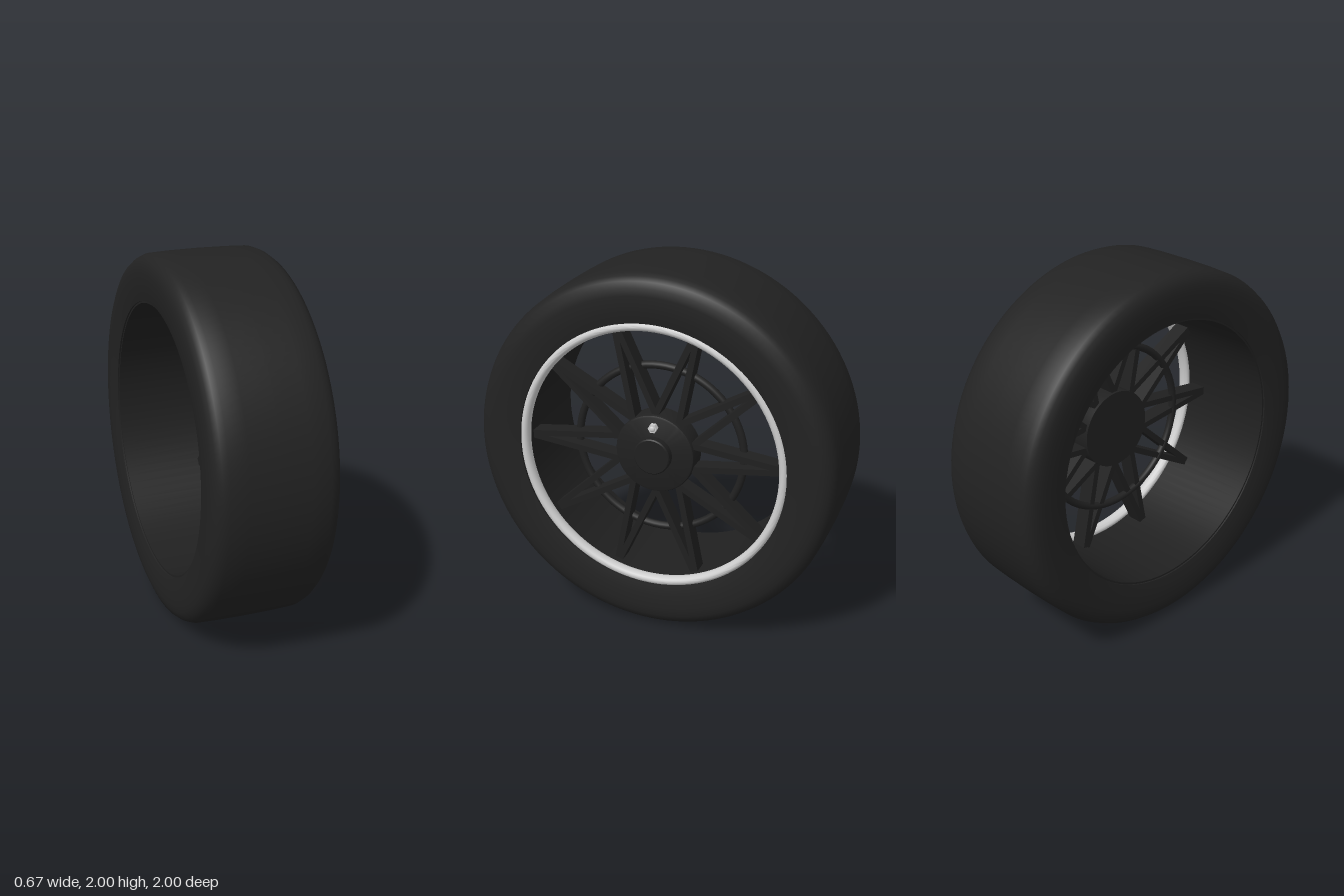
import * as THREE from 'three';
import { toCreasedNormals } from 'three/addons/utils/BufferGeometryUtils.js';

const material = (name, color) => {
  const m = new THREE.MeshStandardMaterial({ color });
  m.name = name;
  return m;
};

// Spin a closed [radius, axial] profile round the axle, keeping sharp edges
function lathe(points, segments = 96, crease = 0.6) {
  const profile = points.map(([r, a]) => new THREE.Vector2(r, a));
  return toCreasedNormals(new THREE.LatheGeometry(profile, segments), crease);
}

export function createModel() {
  const rubber = material('tyre black', 0x222222);
  const satin = material('rim black', 0x202020);
  const chrome = material('polished silver', 0xcccccc);

  const model = new THREE.Group();
  model.name = 'wheel';

  // Axle is built along local y, then laid over to point along +x
  const wheel = new THREE.Group();
  wheel.name = 'wheelAssembly';
  wheel.rotation.z = -Math.PI / 2;
  wheel.position.y = 1;
  model.add(wheel);

  const add = (name, geometry, mat, parent = wheel) => {
    const mesh = new THREE.Mesh(geometry, mat);
    mesh.name = name;
    parent.add(mesh);
    return mesh;
  };

  // Tyre: mirrored half profile, closed through the bore
  const half = [[0.745, 0.318], [0.80, 0.33], [0.89, 0.334], [0.93, 0.329],
    [0.962, 0.315], [0.982, 0.29], [0.994, 0.26], [0.998, 0.16]];
  const tyre = [
    ...half.map(([r, a]) => [r, -a]), [1, 0],
    ...[...half].reverse(), [0.745, -0.318],
  ];
  add('tyre', lathe(tyre, 128), rubber);

  // Barrel lining the bore
  add('rimBarrel', lathe([[0.748, -0.31], [0.748, 0.28], [0.735, 0.28], [0.735, -0.31], [0.748, -0.31]]), satin);

  // Rounded bright lip on the outer face
  const lip = [];
  for (let i = 0; i <= 20; i++) {
    const t = (i / 20) * Math.PI * 2;
    lip.push([0.724 + 0.025 * Math.cos(t), 0.288 + 0.034 * Math.sin(t)]);
  }
  add('rimLip', lathe(lip, 128), chrome);

  // Hub with rounded front edge and centre cap
  add('hub', lathe([[0, 0.11], [0.22, 0.11], [0.22, 0.222], [0.216, 0.231], [0.207, 0.235], [0, 0.235]], 64), satin);
  add('centreCap', lathe([[0, 0.2], [0.1, 0.2], [0.1, 0.274], [0.094, 0.28], [0, 0.28]], 48), satin);

  // Single hexagonal nut
  const nut = new THREE.Group();
  nut.name = 'lugNut';
  nut.position.set(-0.155, 0.235, 0);
  wheel.add(nut);
  add('nutBody', toCreasedNormals(new THREE.CylinderGeometry(0.025, 0.025, 0.03, 6), 0.5), chrome, nut).position.y = 0.013;
  const dome = add('nutDome', new THREE.SphereGeometry(0.016, 16, 8, 0, Math.PI * 2, 0, Math.PI / 2), chrome, nut);
  dome.position.y = 0.028;
  dome.scale.y = 0.6;

  // Ten V-shaped spokes, each a pair of bars meeting at the rim
  const inner = { r: 0.2, off: 0.068 }, outer = { r: 0.715, off: 0.006 };
  const length = Math.hypot(outer.r - inner.r, inner.off - outer.off);
  const bar = new THREE.BoxGeometry(0.033, 0.09, length);
  for (let k = 0; k < 10; k++) {
    const spoke = new THREE.Group();
    spoke.name = 'spoke';
    spoke.rotation.y = (k * Math.PI) / 5;
    wheel.add(spoke);
    for (const s of [-1, 1]) {
      const mesh = add('spokeBar', bar, satin, spoke);
      mesh.position.set((s * (inner.off + outer.off)) / 2, 0.17, (inner.r + outer.r) / 2);
      mesh.rotation.y = Math.atan2(s * (outer.off - inner.off), outer.r - inner.r);
    }
  }

  // Ring tying the spokes together
  const ring = add('spokeRing', new THREE.TorusGeometry(0.468, 0.021, 12, 80), satin);
  ring.rotation.x = Math.PI / 2;
  ring.position.y = 0.14;

  return model;
}
